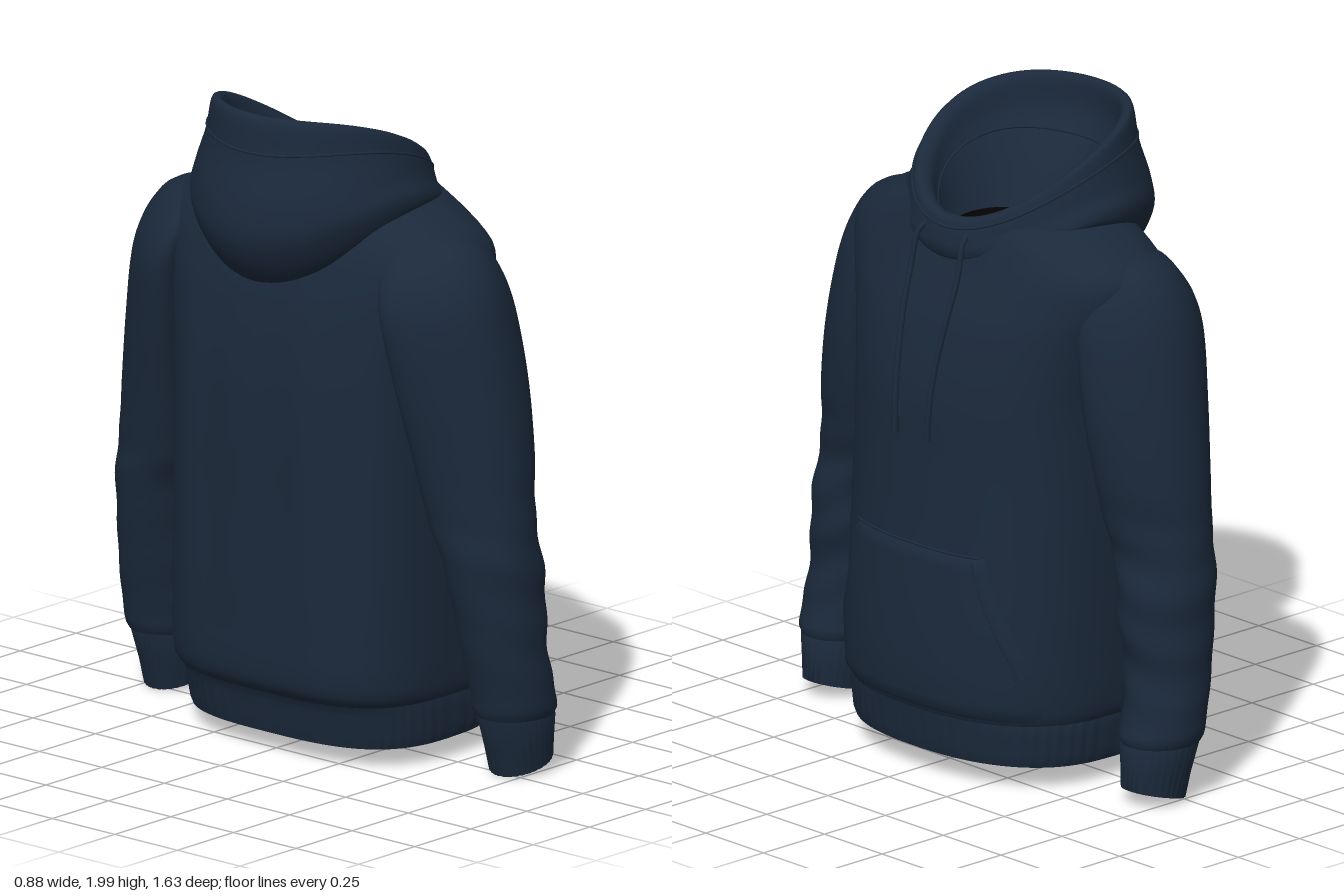
import * as THREE from 'three';
import { toCreasedNormals } from 'three/addons/utils/BufferGeometryUtils.js';

const fabric = new THREE.MeshStandardMaterial({ color: 0x1b293b });
fabric.name = 'navy fabric';
const lining = new THREE.MeshStandardMaterial({ color: 0x040404 });
lining.name = 'black lining';

// Smooth interpolation of key rows; the first number of each row is the parameter
function sample(keys, p) {
  let i = 0;
  while (i < keys.length - 2 && p > keys[i + 1][0]) i++;
  const a = keys[i], b = keys[i + 1], h = b[0] - a[0];
  const t = THREE.MathUtils.clamp((p - a[0]) / h, 0, 1);
  const before = keys[Math.max(i - 1, 0)], after = keys[Math.min(i + 2, keys.length - 1)];
  return a.map((v, k) => {
    const m0 = (b[k] - before[k]) / (b[0] - before[0]) * h;
    const m1 = (after[k] - v) / (after[0] - a[0]) * h;
    const t2 = t * t, t3 = t2 * t;
    return v * (2 * t3 - 3 * t2 + 1) + m0 * (t3 - 2 * t2 + t) + b[k] * (3 * t2 - 2 * t3) + m1 * (t3 - t2);
  });
}

// Skin a grid of points: fn(row, column fraction) gives [x, y, z]
function skin(rows, cols, closed, fn) {
  const pos = [], index = [], n = closed ? cols : cols + 1;
  for (const r of rows) for (let c = 0; c < n; c++) pos.push(...fn(r, c / cols));
  for (let r = 0; r < rows.length - 1; r++) for (let c = 0; c < cols; c++) {
    const a = r * n + c, b = r * n + (c + 1) % n;
    index.push(a, a + n, b, b, a + n, b + n);
  }
  const g = new THREE.BufferGeometry();
  g.setAttribute('position', new THREE.Float32BufferAttribute(pos, 3));
  g.setIndex(index);
  return toCreasedNormals(g, 0.9);
}

const range = (a, b, n) => Array.from({ length: n + 1 }, (_, i) => a + (b - a) * i / n);

function add(group, name, geometry, material) {
  const mesh = new THREE.Mesh(geometry, material);
  mesh.name = name;
  group.add(mesh);
  return mesh;
}

function cord(points, radius, closed = false) {
  const path = new THREE.CatmullRomCurve3(points.map(p => new THREE.Vector3(...p)), closed);
  return new THREE.TubeGeometry(path, points.length * 4, radius, 8, closed);
}

// Body sections: height, back x, front x, half width, squareness of back and of front
const BODY = [
  [0.19, -0.31, 0.40, 0.455, 3.1, 2.4], [0.225, -0.345, 0.42, 0.475, 3.2, 2.4], [0.4, -0.352, 0.428, 0.48, 3.3, 2.4],
  [0.8, -0.35, 0.405, 0.478, 3.3, 2.4], [1.0, -0.35, 0.395, 0.475, 3.3, 2.4], [1.2, -0.345, 0.385, 0.48, 3.2, 2.4],
  [1.4, -0.325, 0.345, 0.52, 2.8, 2.4], [1.5, -0.305, 0.31, 0.565, 2.5, 2.3], [1.58, -0.285, 0.28, 0.575, 2.3, 2.3],
  [1.63, -0.27, 0.265, 0.535, 2.2, 2.2], [1.67, -0.26, 0.255, 0.465, 2.2, 2.2], [1.7, -0.25, 0.25, 0.405, 2.1, 2.1],
  [1.72, -0.245, 0.245, 0.355, 2.1, 2.1]];

function oval([, back, front, hw, nb, nf], t) {
  const c = Math.cos(t), s = Math.sin(t), e = 2 / (c < 0 ? nb : nf);
  return [(back + front) / 2 + (front - back) / 2 * Math.sign(c) * Math.abs(c) ** e,
    hw * Math.sign(s) * Math.abs(s) ** e];
}

// Front surface of the body at a height and side position
function chestX(y, z) {
  const [, b, f, hw, , n] = sample(BODY, y);
  return (b + f) / 2 + (f - b) / 2 * Math.max(0, 1 - Math.abs(z / hw) ** n) ** (1 / n);
}

function buildBody(group) {
  add(group, 'torso', skin(range(0.19, 1.72, 70), 96, true, (y, u) => {
    const [x, z] = oval(sample(BODY, y), u * Math.PI * 2);
    // soft vertical folds across the back
    const fold = x < 0 ? 0.006 * Math.sin(z * 26) * Math.sin(Math.PI * THREE.MathUtils.clamp((y - 0.2) / 1.3, 0, 1)) : 0;
    return [x + fold, y, z];
  }), fabric);

  // ribbed waistband with its closed underside
  const BAND = [[0, -0.285, 0.395, 0.455, 3, 2.4], [1, -0.29, 0.4, 0.462, 3, 2.4],
    [6, -0.31, 0.41, 0.468, 3.1, 2.4], [7, -0.325, 0.412, 0.465, 3.1, 2.4]];
  add(group, 'waistband', skin([-1, 0, 1, 2, 3, 4, 5, 6, 7], 240, true, (k, u) => {
    if (k < 0) return [0.05, 0.065, 0];
    const t = u * Math.PI * 2, rib = 1 + 0.0035 * Math.cos(t * 60) * (k > 0 && k < 7 ? 1 : 0);
    const [x, z] = oval(sample(BAND, k), t);
    return [x * rib, 0.068 + k * 0.02 + 0.025 * x * (1 - k / 7), z * rib];
  }), fabric);
}

function buildPocket(group) {
  const EDGE = [[0.215, 0.425], [0.38, 0.41], [0.5, 0.36], [0.62, 0.31], [0.73, 0.275]];
  const rows = range(0.215, 0.73, 20);
  add(group, 'frontPocket', skin(rows, 32, false, (y, u) => {
    const z = (u * 2 - 1) * sample(EDGE, y)[1];
    const rim = u === 0 || u === 1 || y === rows[0] || y > 0.729;
    return [chestX(y, z) + (rim ? -0.004 : 0.013), y, z];
  }), fabric).material.side = THREE.DoubleSide;
  for (const s of [1, -1]) {
    add(group, 'pocketOpeningSeam', cord(range(0.36, 0.71, 8).map(y => {
      const z = sample(EDGE, y)[1] - 0.04;
      return [chestX(y, z) + 0.012, y, s * z];
    }), 0.004), fabric);
  }
  add(group, 'pocketTopSeam', cord(range(-0.26, 0.26, 10).map(z => [chestX(0.725, z) + 0.006, 0.725, z]), 0.004), fabric);
}

// Sleeve sections: height, back x, front x, inner z, outer z, inward bend of the back and front edges
const SLEEVE = [
  [0.19, -0.085, 0.165, 0.58, 0.805, 0], [0.21, -0.095, 0.172, 0.57, 0.815, 0], [0.25, -0.10, 0.16, 0.57, 0.817, 0],
  [0.4, -0.13, 0.135, 0.555, 0.81, 0], [0.6, -0.165, 0.145, 0.53, 0.803, 0.01], [0.7, -0.18, 0.135, 0.515, 0.80, 0.02],
  [0.8, -0.19, 0.135, 0.485, 0.787, 0.04], [1.0, -0.22, 0.17, 0.465, 0.77, 0.07], [1.2, -0.255, 0.19, 0.45, 0.74, 0.09],
  [1.4, -0.28, 0.185, 0.43, 0.70, 0.10], [1.5, -0.265, 0.165, 0.41, 0.67, 0.10], [1.58, -0.215, 0.125, 0.39, 0.625, 0.08],
  [1.625, -0.165, 0.085, 0.38, 0.57, 0.05], [1.66, -0.06, 0.03, 0.37, 0.455, 0]];

function buildSleeve(group, s) {
  const arm = new THREE.Group();
  arm.name = s > 0 ? 'leftSideSleeve' : 'rightSideSleeve';
  group.add(arm);
  add(arm, 'sleeve', skin(range(0.19, 1.66, 90), 48, true, (y, u) => {
    const t = u * Math.PI * 2, c = Math.cos(t), side = Math.sin(t) * s;
    const [, b, f, zi, zo, bend] = sample(SLEEVE, y);
    // slanted creases around elbow and forearm
    const zone = THREE.MathUtils.smoothstep(y, 0.22, 0.34) * (1 - THREE.MathUtils.smoothstep(y, 0.75, 1.0));
    const k = 1 + 0.028 * zone * Math.sin(y * 38 + 2.2 * side + c) * (0.6 + 0.4 * c);
    const z = (zi + zo) / 2 + (zo - zi) / 2 * side * k - bend * c * c * (c < 0 ? 1 : 0.6);
    return [(b + f) / 2 + (f - b) / 2 * c * k, y, s * z];
  }), fabric);

  // ribbed cuff, turned in at the opening and filled with lining
  const CUFF = [[0, 0.075, 0.05, 0.69, 0.073, 0.068], [1, 0.075, 0.03, 0.69, 0.092, 0.083],
    [2, 0.07, 0.03, 0.69, 0.10, 0.09], [3, 0.06, 0.1, 0.69, 0.108, 0.1],
    [4, 0.045, 0.185, 0.692, 0.122, 0.112], [5, 0.04, 0.205, 0.693, 0.115, 0.105]];
  const ring = (k, t, rib) => {
    const [, cx, cy, cz, rx, rz] = CUFF[k];
    const x = (rx + rib) * Math.cos(t);
    return [cx + x, cy + (k < 3 ? 0.25 : k === 3 ? 0.12 : 0) * x, s * cz + (rz + rib) * Math.sin(t)];
  };
  add(arm, 'cuff', skin([1, 2, 3, 4, 5], 120, true,
    (k, u) => ring(k, u * Math.PI * 2, k > 1 ? 0.0012 * Math.cos(u * Math.PI * 60) : 0)), fabric);
  add(arm, 'cuffLining', skin([-1, 0, 1], 48, true,
    (k, u) => k < 0 ? [0.075, 0.05, s * 0.69] : ring(k, u * Math.PI * 2, 0)), lining);
}

// Hood profile: step, front x, front y, side z, side y, back x, back y
const HOOD = [
  [0, 0.25, 1.575, 0.35, 1.685, -0.29, 1.47], [1, 0.278, 1.59, 0.382, 1.715, -0.365, 1.485],
  [2, 0.288, 1.62, 0.385, 1.755, -0.435, 1.60], [3, 0.285, 1.65, 0.362, 1.80, -0.435, 1.72],
  [4, 0.278, 1.68, 0.342, 1.86, -0.395, 1.86], [5, 0.265, 1.71, 0.325, 1.92, -0.38, 1.975],
  [5.5, 0.24, 1.715, 0.308, 1.927, -0.365, 1.997], [6, 0.22, 1.70, 0.285, 1.91, -0.345, 1.985],
  [7, 0.21, 1.67, 0.262, 1.84, -0.33, 1.88], [8, 0.207, 1.64, 0.225, 1.745, -0.25, 1.75],
  [9, 0.20, 1.60, 0.18, 1.62, -0.18, 1.615]];

function hoodPoint(k, t) {
  const [, fx, fy, w, sy, bx, by] = sample(HOOD, k), c = Math.cos(t);
  return [(fx + bx) / 2 + (fx - bx) / 2 * c,
    sy + (fy - by) / 2 * c + ((fy + by) / 2 - sy) * c * c, w * Math.sin(t)];
}

function buildHood(group) {
  add(group, 'hood', skin(range(0, 9, 45), 96, true, (k, u) => hoodPoint(k, u * Math.PI * 2)), fabric);
  add(group, 'neckLining', skin([9, 10, 11], 64, true, (k, u) => {
    const [x, y, z] = hoodPoint(9, u * Math.PI * 2);
    return k === 9 ? [x, y, z] : k === 10 ? [x, 1.54, z] : [0, 1.54, 0];
  }), lining);
  const loop = k => range(0, 1, 48).slice(0, -1).map(u => hoodPoint(k, u * Math.PI * 2));
  add(group, 'hoodHemSeam', cord(loop(4.2), 0.004, true), fabric);
  add(group, 'hoodInnerSeam', cord(loop(7.4), 0.004, true), fabric);

  // drawstrings with tipped ends
  for (const s of [1, -1]) {
    add(group, 'drawstring', cord([[0.255, 1.68, s * 0.085], [0.288, 1.655, s * 0.095], [0.315, 1.55, s * 0.1],
      [0.355, 1.42, s * 0.092], [0.388, 1.28, s * 0.08], [0.405, 1.16, s * 0.073], [0.41, 1.07, s * 0.07]], 0.009), fabric);
    const tip = add(group, 'drawstringTip', new THREE.CylinderGeometry(0.011, 0.011, 0.05, 10), fabric);
    tip.position.set(0.41, 1.08, s * 0.07);
  }
}

export function createModel() {
  const hoodie = new THREE.Group();
  hoodie.name = 'hoodedSweatshirt';
  buildBody(hoodie);
  buildPocket(hoodie);
  buildSleeve(hoodie, 1);
  buildSleeve(hoodie, -1);
  buildHood(hoodie);
  return hoodie;
}
